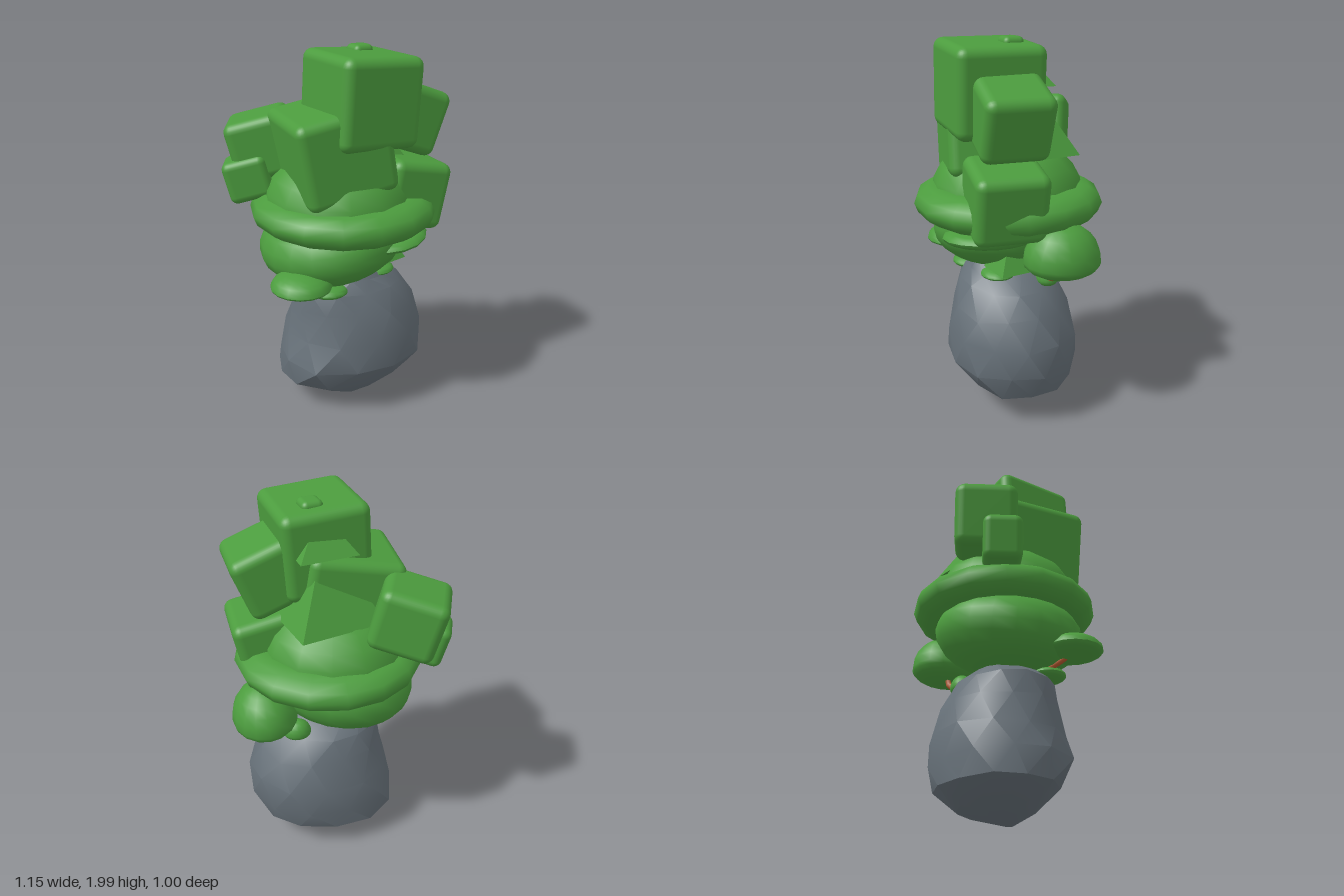
import * as THREE from 'three';
import { toCreasedNormals } from 'three/addons/utils/BufferGeometryUtils.js';
import { RoundedBoxGeometry } from 'three/addons/geometries/RoundedBoxGeometry.js';

const mat = (name, color) => {
  const m = new THREE.MeshStandardMaterial({ color });
  m.name = name;
  return m;
};

export function createModel() {
  const group = new THREE.Group();
  const leaf = mat('leaf green', 0x4c9c3e);
  const stone = mat('stone grey', 0x677179);
  const bark = mat('bark orange', 0xb0562c);

  const add = (name, geometry, material, pos = [0, 0, 0], rot = [0, 0, 0]) => {
    const mesh = new THREE.Mesh(geometry, material);
    mesh.name = name;
    mesh.position.set(...pos);
    mesh.rotation.set(...rot);
    group.add(mesh);
    return mesh;
  };

  // Rounded foliage blocks
  const block = (name, size, pos, rot, radius = 0.05) =>
    add(name, new RoundedBoxGeometry(...size, 3, radius), leaf, pos, rot);
  // Foliage pads: squashed spheres, optionally flattened underneath
  const pad = (name, r, pos, rot, flat = 1, seg = 16) => {
    const g = new THREE.SphereGeometry(1, seg, 12);
    const p = g.attributes.position;
    for (let i = 0; i < p.count; i++) if (p.getY(i) < 0) p.setY(i, p.getY(i) * flat);
    g.scale(...r);
    g.computeVertexNormals();
    return add(name, toCreasedNormals(g, 0.7), leaf, pos, rot);
  };
  // Four-sided foliage tiers
  const tier = (name, half, height, base, turn) => {
    const g = new THREE.ConeGeometry(half * Math.SQRT2, height, 4);
    g.rotateY(Math.PI / 4);
    g.translate(0, height / 2, 0);
    return add(name, toCreasedNormals(g, 0.5), leaf, base, [0, turn, 0]);
  };

  // Boulder: rings of y, xMin, xMax, zMin, zMax, corner bulge
  const rings = [
    [0.01, 0.08, 0.12, 0.04, 0.08, 0],
    [0.07, -0.14, 0.27, -0.23, 0.17, 0],
    [0.17, -0.33, 0.44, -0.33, 0.25, 0.06],
    [0.3, -0.32, 0.5, -0.345, 0.33, 0.12],
    [0.45, -0.3, 0.5, -0.345, 0.33, 0],
    [0.6, -0.26, 0.44, -0.3, 0.31, 0],
    [0.72, -0.24, 0.35, -0.24, 0.26, 0],
    [0.79, -0.16, 0.25, -0.17, 0.22, 0],
    [0.85, 0.0, 0.13, 0.0, 0.19, 0],
  ];
  let seed = 7;
  const rand = () => (seed = (seed * 16807) % 2147483647) / 2147483647;
  const sides = 12, pts = [], idx = [];
  rings.forEach(([y, x0, x1, z0, z1, corner], j) => {
    const rough = j === 0 || j === rings.length - 1 ? 0 : 0.06;
    for (let i = 0; i < sides; i++) {
      const a = ((i + j / 2) / sides) * Math.PI * 2;
      const bulge = Math.cos(a) < 0 ? corner * Math.sin(2 * a) ** 2 : 0;
      const k = 1.015 + bulge + rough * (rand() - 0.5);
      pts.push((x0 + x1) / 2 + Math.cos(a) * k * (x1 - x0) / 2,
        y + (rand() - 0.5) * rough * 0.5,
        (z0 + z1) / 2 + Math.sin(a) * k * (z1 - z0) / 2);
      if (j) {
        const n = (i + 1) % sides, b = (j - 1) * sides, t = j * sides;
        idx.push(b + i, t + i, b + n, b + n, t + i, t + n);
      }
    }
  });
  const top = (rings.length - 1) * sides;
  for (let i = 1; i < sides - 1; i++) {
    idx.push(0, i, i + 1, top, top + i + 1, top + i);
  }
  const rock = new THREE.BufferGeometry();
  rock.setAttribute('position', new THREE.Float32BufferAttribute(pts, 3));
  rock.setIndex(idx);
  add('boulder', toCreasedNormals(rock, 0.5), stone);

  // Crown body, brim and dome
  pad('crownBowl', [0.405, 0.23, 0.395], [-0.03, 0.99, 0], [0, 0, 0.2], 1, 20);
  const ring = new THREE.TorusGeometry(0.36, 0.14, 12, 16);
  ring.rotateX(Math.PI / 2);
  ring.rotateY(Math.PI / 2);
  ring.scale(1, 0.68, 1);
  add('brim', ring, leaf, [0.03, 1.153, 0]);
  pad('dome', [0.4, 0.31, 0.405], [0, 1.18, 0], [0, 0, 0], 0.3, 14);
  pad('underBrim', [0.23, 0.055, 0.25], [0.21, 1.01, 0.13], [0, 0, 0.1]);

  // Outlying pads
  pad('sidePuff', [0.17, 0.2, 0.2], [0.405, 0.92, -0.195], [0, 0, -0.06], 0.42);
  pad('frontPad', [0.16, 0.08, 0.16], [-0.3, 0.84, 0.24], [0, 0, 0], 0.45);
  pad('lowFrontPad', [0.105, 0.04, 0.1], [-0.125, 0.755, 0.18], [0, 0, 0], 0.8);
  pad('lowSidePad', [0.1, 0.035, 0.09], [0.19, 0.79, 0.09], [0, 0, 0], 0.7);
  pad('backPad', [0.075, 0.075, 0.06], [0.235, 0.76, -0.165], [0, 0, 0], 0.55);

  // Layered tiers
  tier('lowTier', 0.1, 0.2, [0.24, 0.83, 0.035], 0.3);
  tier('middleTier', 0.23, 0.42, [0.06, 1.41, -0.05], 0.28);
  tier('upperTier', 0.15, 0.2, [0.08, 1.76, -0.03], 0.2);

  // Leafy blocks
  block('topBlock', [0.45, 0.45, 0.46], [0.075, 1.752, 0.11], [0, 0.15, -0.06]);
  block('middleBlock', [0.49, 0.45, 0.5], [-0.065, 1.5, 0.08], [0, 0, 0.18]);
  block('upperLeftBlock', [0.34, 0.34, 0.35], [0.33, 1.64, 0.055], [0, 0.1, -0.36]);
  block('lowerLeftBlock', [0.35, 0.36, 0.37], [0.343, 1.24, 0.085], [0, 0.06, -0.2]);
  block('rightBlock', [0.34, 0.33, 0.32], [-0.325, 1.47, -0.26], [0, -0.37, 0.25]);
  block('smallRightBlock', [0.24, 0.23, 0.2], [-0.425, 1.31, -0.21], [0, -0.37, 0.25], 0.04);
  block('topKnob', [0.11, 0.06, 0.11], [0.115, 1.97, 0.005], [0, 0.2, 0], 0.028);

  // Twigs
  const twig = (name, ...p) => add(name, new THREE.TubeGeometry(
    new THREE.CatmullRomCurve3(p.map((v) => new THREE.Vector3(...v))), 8, 0.017, 6), bark);
  twig('leftTwig', [0.2, 0.75, -0.1], [0.3, 0.78, -0.17], [0.35, 0.82, -0.2], [0.36, 0.88, -0.2]);
  twig('rightTwig', [-0.12, 0.74, 0.1], [-0.21, 0.78, 0.17], [-0.27, 0.82, 0.22], [-0.29, 0.86, 0.24]);

  return group;
}
